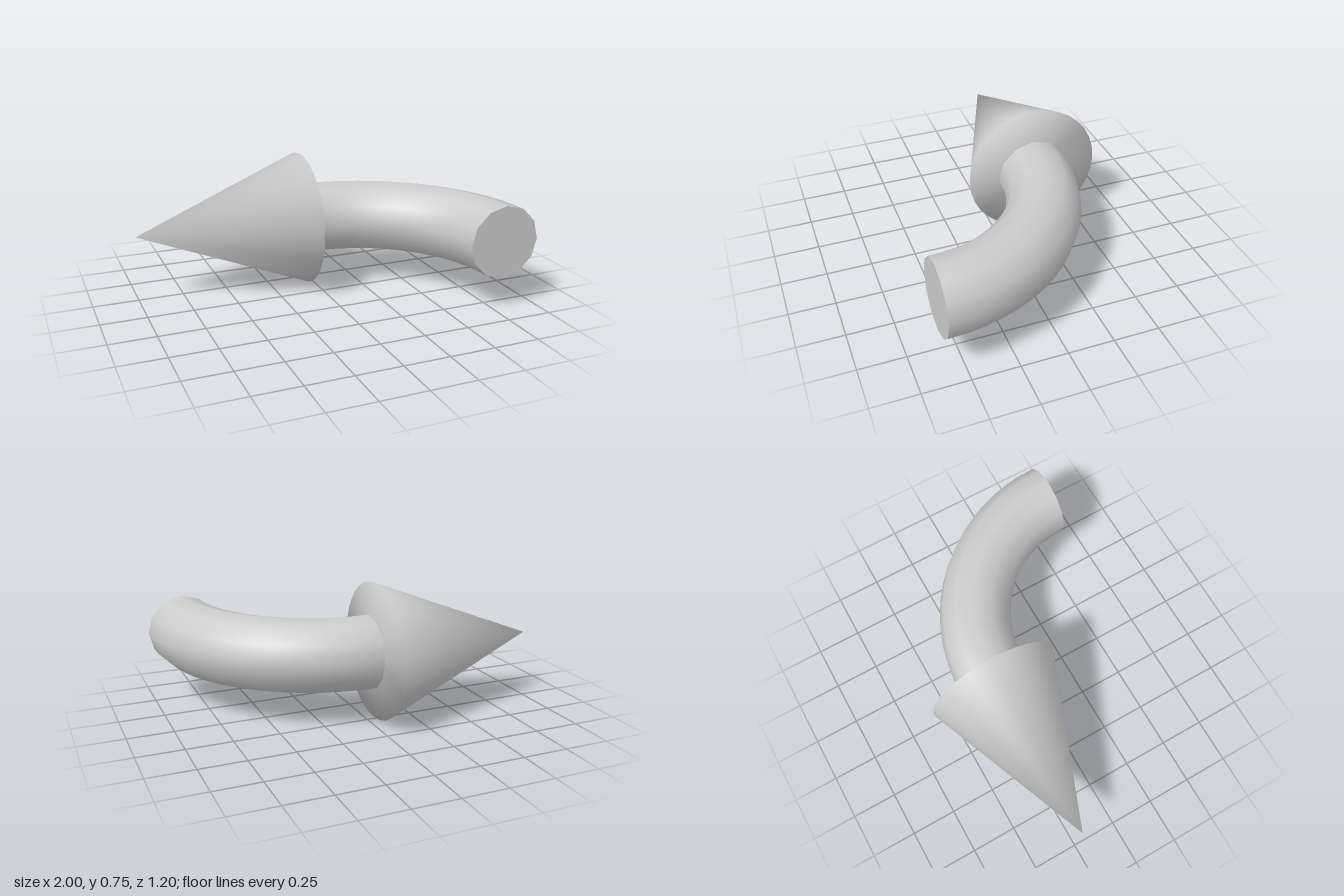
import * as THREE from 'three';
import { mergeVertices } from 'three/addons/utils/BufferGeometryUtils.js';

const AXIS_Y = 0.378;

export function createModel() {
  const model = new THREE.Group();
  model.name = 'curvedArrow';
  const material = new THREE.MeshStandardMaterial({ color: 0xcccccc });

  const add = (name, geometry, x, y, z, parent = model) => {
    const mesh = new THREE.Mesh(geometry, material);
    mesh.name = name;
    mesh.position.set(x, y, z);
    parent.add(mesh);
    return mesh;
  };

  // Arrow head: closed cone pointing to -x, smooth across tip and rim
  const tipX = -1, baseX = -0.048;
  let cone = new THREE.ConeGeometry(0.376, baseX - tipX, 32).rotateZ(Math.PI / 2);
  cone.deleteAttribute('normal');
  cone.deleteAttribute('uv');
  cone = mergeVertices(cone);
  cone.computeVertexNormals();
  add('arrowHead', cone, (tipX + baseX) / 2, AXIS_Y, -0.225);

  // Shaft: quarter-circle tube lying flat, with a flat cap at each end
  const bend = 0.816, radius = 0.202, sides = 12;
  const shaft = new THREE.Group();
  shaft.name = 'shaft';
  shaft.position.set(-0.021, AXIS_Y, 0.6);
  model.add(shaft);

  const tube = new THREE.TorusGeometry(bend, radius, sides, 16, Math.PI / 2).rotateX(-Math.PI / 2);
  add('shaftTube', tube, 0, 0, 0, shaft);
  add('shaftFrontCap', new THREE.CircleGeometry(radius, sides), bend, 0, 0, shaft);
  add('shaftHeadCap', new THREE.CircleGeometry(radius, sides).rotateY(-Math.PI / 2), 0, 0, -bend, shaft);

  return model;
}
